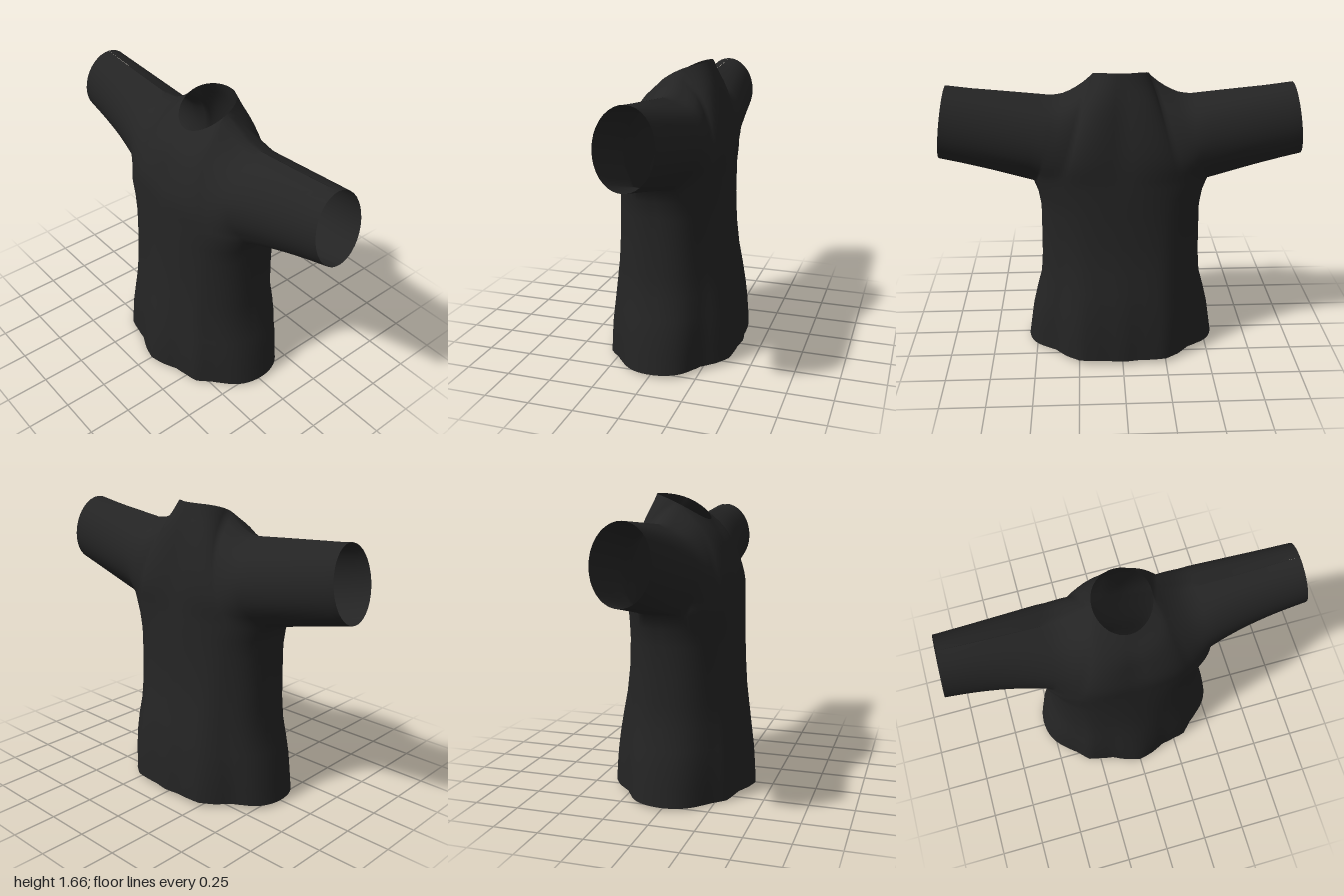
import * as THREE from 'three';

const V = (x, y, z) => new THREE.Vector3(x, y, z);
const lerp = THREE.MathUtils.lerp;

const COLS = 20;    // columns per quarter of the torso
const GUSSET = 4;   // columns under the arm that run into the sleeve
const PANEL = COLS - GUSSET;
const ROWS = 14;    // rows from underarm to shoulder
const NECK = 9;     // panel columns that end on the neckline
const SLEEVE = 10;  // rings along a sleeve
const UNDERARM = 1.05;

// Torso levels: height, half width, front depth, back depth
const LEVELS = [
  [0, 0.55, 0.397, 0.395], [0.1, 0.535, 0.39, 0.392], [0.2, 0.52, 0.38, 0.385],
  [0.3, 0.497, 0.365, 0.375], [0.42, 0.465, 0.348, 0.358], [0.55, 0.455, 0.326, 0.332],
  [0.7, 0.452, 0.31, 0.313], [0.87, 0.45, 0.298, 0.304], [0.97, 0.466, 0.292, 0.302],
  [UNDERARM, 0.495, 0.287, 0.298],
];
// Depth factors of the hem folds, from the middle to the side
const FOLDS = {
  front: [1, 0.96, 0.9, 0.92, 0.965, 0.88, 0.87, 0.9, 0.95, 1, 1],
  back: [1, 0.98, 1.01, 1.05, 0.99, 0.85, 0.86, 0.92, 0.98, 1, 1],
};

// One quarter of a torso ring, from the middle (x = 0) to the side
function torsoRow([y, w, zf, zb], f) {
  const row = [], low = 1 - y / UNDERARM, folds = f > 0 ? FOLDS.front : FOLDS.back;
  const zc = -0.02, depth = (f > 0 ? zf : zb) + zc * -f;
  const p = lerp(0.8, 1, low);
  for (let i = 0; i <= COLS; i++) {
    const t = (i / COLS) * Math.PI / 2;
    const k = i / 2, a = Math.floor(k), b = Math.min(a + 1, 10);
    const fold = lerp(1, lerp(folds[a], folds[b], k - a), Math.pow(low, 1.5));
    const x = w * Math.pow(Math.sin(t), p);
    const z = zc + f * depth * fold * Math.pow(Math.max(0, Math.cos(t)), p);
    row.push(V(x, y + (0.013 - 0.03 * z) * low, z));
  }
  return row;
}

function neckPoint(a, f) {
  const z = -0.037 + f * 0.152 * Math.cos(a);
  return V(0.155 * Math.sin(a), 1.6 - 0.55 * z - 1.2 * z * z, z);
}

// Upper edge of a panel: half the neckline, then the shoulder
function topEdge(f) {
  const edge = [];
  for (let i = 0; i <= NECK; i++) edge.push(neckPoint((i / NECK) * Math.PI / 2, f));
  const shoulder = new THREE.CatmullRomCurve3(
    [edge[NECK], V(0.2, 1.582, -0.045), V(0.26, 1.545, -0.05), V(0.32, 1.52, -0.05), V(0.38, 1.513, -0.05)]);
  return edge.concat(shoulder.getPoints(PANEL - NECK).slice(1));
}

// Chest or back panel, blended between its four edges
function panelGrid(f, bottom) {
  const top = topEdge(f);
  const middle = new THREE.CatmullRomCurve3(f > 0
    ? [bottom[0], V(0, 1.18, 0.273), V(0, 1.3, 0.237), V(0, 1.41, 0.195), top[0]]
    : [bottom[0], V(0, 1.2, -0.287), V(0, 1.35, -0.265), V(0, 1.51, -0.233), top[0]]).getPoints(ROWS);
  const armhole = new THREE.CatmullRomCurve3(f > 0
    ? [bottom[PANEL], V(0.44, 1.17, 0.165), V(0.425, 1.3, 0.165), V(0.405, 1.43, 0.09), top[PANEL]]
    : [bottom[PANEL], V(0.44, 1.17, -0.235), V(0.425, 1.3, -0.255), V(0.405, 1.43, -0.2), top[PANEL]]).getPoints(ROWS);
  const grid = [];
  for (let j = 0; j <= ROWS; j++) {
    const v = j / ROWS, row = [];
    for (let i = 0; i <= PANEL; i++) {
      const u = i / PANEL;
      const across = middle[j].clone().lerp(armhole[j], u);
      const along = bottom[i].clone().lerp(top[i], v);
      const corners = bottom[0].clone().lerp(bottom[PANEL], u)
        .lerp(top[0].clone().lerp(top[PANEL], u), v);
      row.push(across.add(along).sub(corners));
    }
    grid.push(row);
  }
  return grid;
}

// Front or back half of a sleeve, from the armhole to the cuff
function sleeveGrid(f, ring, panel) {
  const start = [];
  for (let i = COLS; i > PANEL; i--) start.push(ring[i]);
  panel.forEach(row => start.push(row[PANEL]));
  const corner = 0.62, grid = [];
  for (let s = 0; s <= SLEEVE; s++) {
    const t = s / SLEEVE, tz = f > 0 ? 1 - Math.pow(1 - t, 2.4) : t;
    grid.push(start.map((a, k) => {
      const angle = k <= GUSSET ? corner * k / GUSSET
        : lerp(corner, Math.PI, (k - GUSSET) / ROWS);
      const c = Math.cos(angle);
      return V(lerp(a.x, 0.97 + 0.03 * c, t), lerp(a.y, 1.365 - 0.2 * c, t),
        lerp(a.z, -0.042 + f * 0.155 * Math.sin(angle), tz));
    }));
  }
  return grid;
}

export function createModel() {
  const positions = [], lookup = new Map(), parts = {};

  // Shared vertices keep the shading smooth across the seams
  const vertex = (p, sx) => {
    const q = [p.x * sx, p.y, p.z];
    const key = q.map(n => Math.round(n * 1e4)).join();
    if (!lookup.has(key)) {
      lookup.set(key, positions.length / 3);
      positions.push(...q);
    }
    return lookup.get(key);
  };
  const addGrid = (name, grid, sx, flip) => {
    const index = (parts[name] ??= []);
    for (let j = 0; j < grid.length - 1; j++) {
      for (let i = 0; i < grid[j].length - 1; i++) {
        const [a, b, c, d] = [grid[j][i], grid[j][i + 1], grid[j + 1][i + 1], grid[j + 1][i]]
          .map(p => vertex(p, sx));
        for (const [l, m, n] of [[a, b, c], [a, c, d]]) {
          if (l === m || m === n || l === n) continue;
          index.push(l, ...(flip ? [n, m] : [m, n]));
        }
      }
    }
  };

  for (const f of [1, -1]) {
    const torso = LEVELS.map(level => torsoRow(level, f));
    const ring = torso[torso.length - 1];
    const panel = panelGrid(f, ring.slice(0, PANEL + 1));
    const sleeve = sleeveGrid(f, ring, panel);
    for (const sx of [1, -1]) {
      const flip = sx * f < 0;
      addGrid('torso', torso, sx, flip);
      addGrid(f > 0 ? 'chestPanel' : 'upperBackPanel', panel, sx, flip);
      addGrid(sx > 0 ? 'leftSleeve' : 'rightSleeve', sleeve, sx, !flip);
    }
  }

  // Normals are worked out once for the whole garment
  const whole = new THREE.BufferGeometry();
  whole.setAttribute('position', new THREE.Float32BufferAttribute(positions, 3));
  whole.setIndex(Object.values(parts).flat());
  whole.computeVertexNormals();

  const cloth = new THREE.MeshStandardMaterial({ color: 0x242424, side: THREE.DoubleSide });
  cloth.name = 'black cloth';
  const group = new THREE.Group();
  group.name = 'shirt';
  for (const [name, index] of Object.entries(parts)) {
    const geometry = new THREE.BufferGeometry();
    geometry.setAttribute('position', whole.getAttribute('position'));
    geometry.setAttribute('normal', whole.getAttribute('normal'));
    geometry.setIndex(index);
    const mesh = new THREE.Mesh(geometry, cloth);
    mesh.name = name;
    group.add(mesh);
  }
  return group;
}
